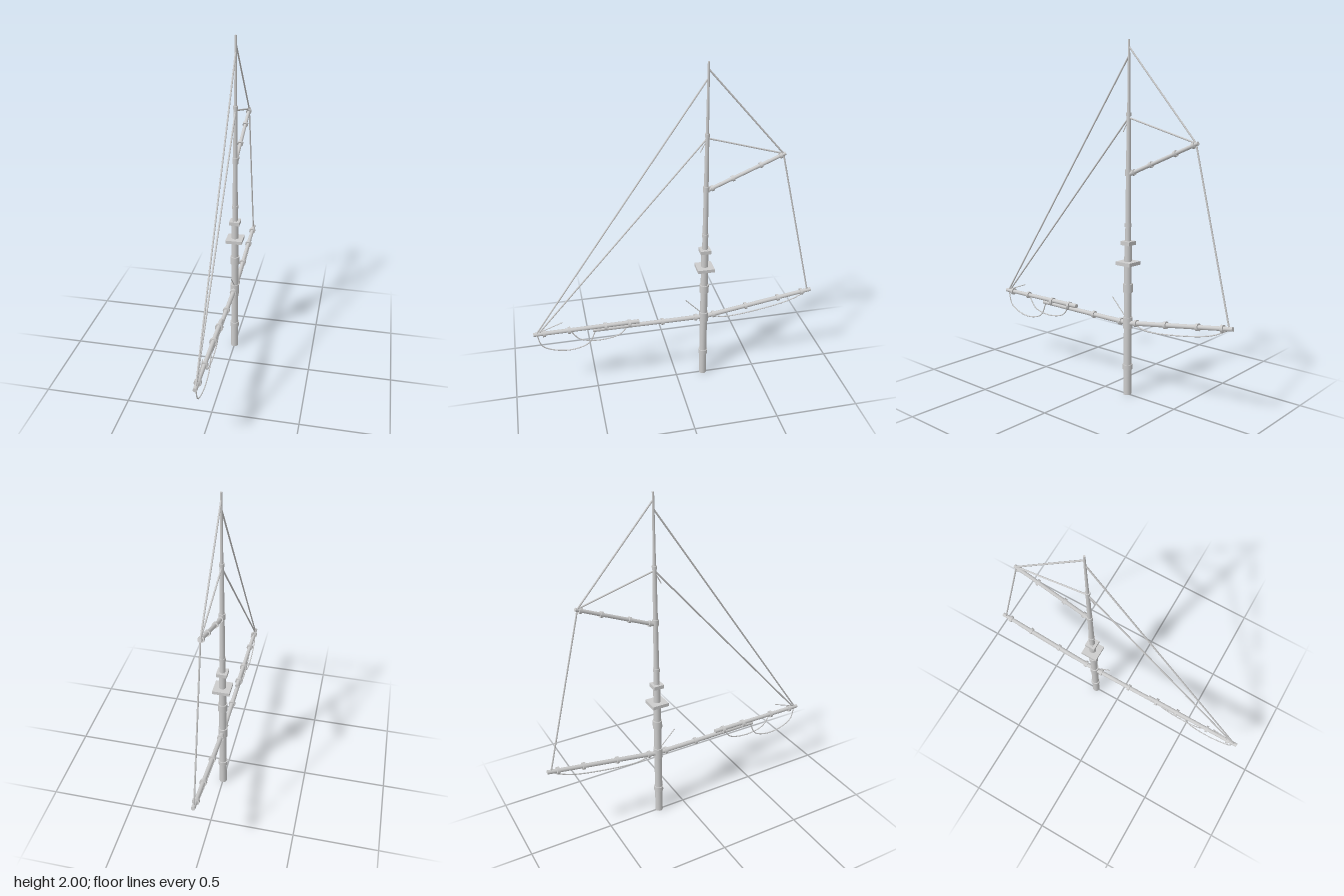
import * as THREE from 'three';

const MAST_Z = -0.17;
const material = new THREE.MeshStandardMaterial({ color: 0xcccccc, side: THREE.DoubleSide });

// Points are given as [z, y]; the whole rig lies in the plane x = 0.
const point = ([z, y]) => new THREE.Vector3(0, y, z);

function add(parent, name, geometry) {
  const mesh = new THREE.Mesh(geometry, material);
  mesh.name = name;
  parent.add(mesh);
  return mesh;
}

// Tapered round bar between two points
function bar(parent, name, from, to, r0, r1 = r0, sides = 12) {
  const a = point(from), b = point(to);
  const mesh = add(parent, name, new THREE.CylinderGeometry(r1, r0, a.distanceTo(b), sides));
  mesh.position.copy(a).add(b).multiplyScalar(0.5);
  mesh.quaternion.setFromUnitVectors(new THREE.Vector3(0, 1, 0), b.sub(a).normalize());
  return mesh;
}

// Spar with iron bands at the given fractions of its length
function spar(parent, name, from, to, r0, r1, bandAt, bandRadius) {
  const group = new THREE.Group();
  group.name = name;
  parent.add(group);
  bar(group, name + 'Pole', from, to, r0, r1);
  const length = Math.hypot(to[0] - from[0], to[1] - from[1]);
  const at = t => [from[0] + (to[0] - from[0]) * t, from[1] + (to[1] - from[1]) * t];
  const half = 0.008 / length;
  for (const t of bandAt) bar(group, name + 'Band', at(t - half), at(t + half), bandRadius);
}

// Slack rope through several points
function slackRope(parent, name, points) {
  const curve = new THREE.CatmullRomCurve3(points.map(point));
  add(parent, name, new THREE.TubeGeometry(curve, 32, 0.0035, 6));
}

export function createModel() {
  const model = new THREE.Group();
  model.name = 'mastAndRigging';

  // Mast in three stepped sections
  const mast = new THREE.Group();
  mast.name = 'mast';
  model.add(mast);
  const upright = (name, y0, y1, r0, r1) => bar(mast, name, [MAST_Z, y0], [MAST_Z, y1], r0, r1, 16);
  upright('lowerMast', 0, 0.9, 0.023, 0.021);
  upright('topMast', 0.88, 1.6, 0.017, 0.011);
  upright('upperMast', 1.58, 2, 0.009, 0.006);
  for (const [y0, y1, r] of [[0.15, 0.18, 0.028], [0.395, 0.46, 0.028], [0.605, 0.655, 0.028],
    [0.98, 1, 0.02], [1.265, 1.3, 0.018], [1.59, 1.61, 0.014]]) upright('mastBand', y0, y1, r, r);

  // Square platform and mast cap
  for (const [name, width, height, y] of [['platform', 0.1, 0.02, 0.773], ['mastCap', 0.062, 0.022, 0.888]]) {
    add(mast, name, new THREE.BoxGeometry(width, height, width)).position.set(0, y, MAST_Z);
  }

  // Forward and after spars
  spar(model, 'bowsprit', [MAST_Z, 0.425], [0.51, 0.425], 0.014, 0.012, [0.075, 0.378], 0.021);
  spar(model, 'jibBoom', [0.23, 0.448], [0.86, 0.444], 0.013, 0.012, [0.667, 0.9], 0.021);
  spar(model, 'boom', [MAST_Z, 0.424], [-0.857, 0.529], 0.014, 0.012, [0.09, 0.388, 0.69, 0.912], 0.021);
  spar(model, 'gaff', [MAST_Z, 1.27], [-0.625, 1.458], 0.011, 0.01, [0.08, 0.34, 0.69, 0.94], 0.017);

  // Collars holding the jib boom on the bowsprit
  for (const z of [0.29, 0.435]) {
    const collar = bar(model, 'boomCollar', [z - 0.008, 0.44], [z + 0.008, 0.44], 0.025);
    collar.scale.x = 0.95;
  }

  // Taut stays and halyards
  const bowTip = [0.84, 0.45], gaffTip = [-0.612, 1.458];
  const stays = [
    ['topStay', [MAST_Z, 1.913], bowTip],
    ['foreStay', [MAST_Z, 1.583], [0.828, 0.45]],
    ['upperPeakHalyard', [MAST_Z, 1.96], gaffTip],
    ['lowerPeakHalyard', [MAST_Z, 1.583], gaffTip],
    ['toppingLift', gaffTip, [-0.835, 0.528]],
  ];
  for (const [name, a, b] of stays) bar(model, name, a, b, 0.0048, 0.0048, 8);

  // Loose rope ends
  for (const [a, b] of [[bowTip, [0.685, 0.507]], [[-0.16, 0.45], [-0.056, 0.558]], [[MAST_Z, 1.575], [-0.132, 1.505]]]) {
    bar(model, 'ropeEnd', a, b, 0.003, 0.003, 6);
  }

  // Hanging ropes below the spars
  slackRope(model, 'frontHangingRope', [[0.84, 0.44], [0.81, 0.352], [0.67, 0.303], [0.54, 0.335], [0.495, 0.42]]);
  slackRope(model, 'middleHangingRope', [[0.64, 0.435], [0.59, 0.373], [0.475, 0.348], [0.35, 0.372], [0.3, 0.425]]);
  slackRope(model, 'rearHangingRope', [[-0.22, 0.425], [-0.3, 0.404], [-0.55, 0.428], [-0.735, 0.47], [-0.835, 0.52]]);

  return model;
}
